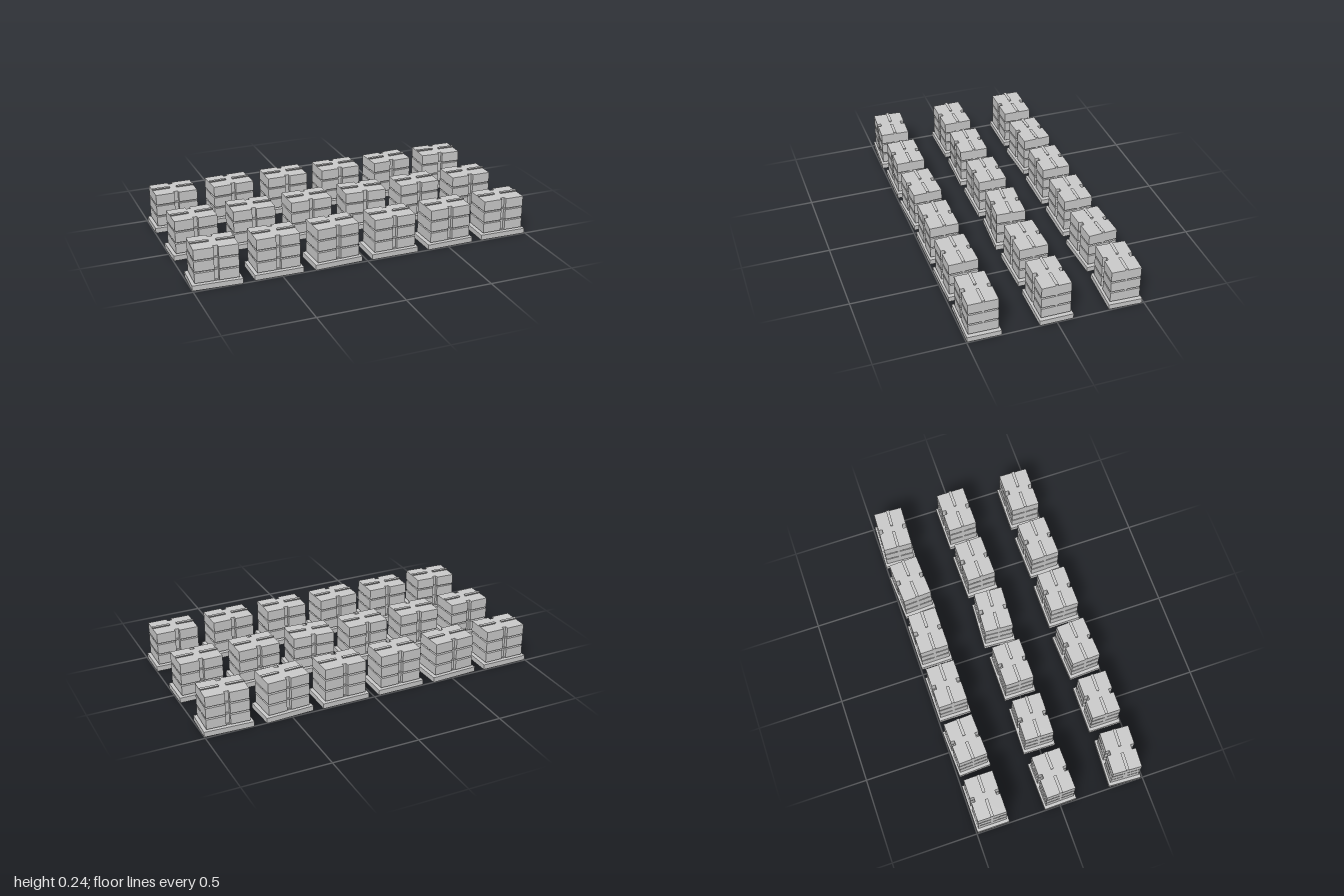
import * as THREE from 'three';

const grey = new THREE.MeshStandardMaterial({ color: 0xcccccc });
grey.name = 'light grey';

// Carton layer: rectangle notched at the middle of its front and back
function layerGeometry(height) {
  const w = 0.123, d = 0.084, nw = 0.013, nd = 0.062;
  const shape = new THREE.Shape([
    [-w, -d], [-nw, -d], [-nw, -nd], [nw, -nd], [nw, -d], [w, -d],
    [w, d], [nw, d], [nw, nd], [-nw, nd], [-nw, d], [-w, d],
  ].map(([x, z]) => new THREE.Vector2(x, z)));
  return new THREE.ExtrudeGeometry(shape, { depth: height, bevelEnabled: false }).rotateX(-Math.PI / 2);
}

// Flared ridge running in x along one half of a layer's top
function ridgeGeometry(height) {
  const shape = new THREE.Shape([
    [-0.004, 0], [0.004, 0], [0.009, height], [-0.009, height],
  ].map(([z, y]) => new THREE.Vector2(z, y)));
  return new THREE.ExtrudeGeometry(shape, { depth: 0.103, bevelEnabled: false })
    .translate(0, 0, -0.0515).rotateY(Math.PI / 2);
}

const layers = [[0.037, 0.094], [0.103, 0.162], [0.171, 0.231]];

function createStack() {
  const stack = new THREE.Group();
  stack.name = 'palletStack';
  const add = (name, geometry, x, y, z) => {
    const mesh = new THREE.Mesh(geometry, grey);
    mesh.name = name;
    mesh.position.set(x, y, z);
    stack.add(mesh);
  };
  add('pallet', new THREE.BoxGeometry(0.28, 0.03, 0.19), 0, 0.015, 0);

  let below = 0.03;
  layers.forEach(([bottom, top], i) => {
    // Inset spacer under each layer
    add('spacer', new THREE.BoxGeometry(0.226, bottom - below, 0.14), 0, (bottom + below) / 2, 0);
    add('cartonLayer', layerGeometry(top - bottom), 0, bottom, 0);
    const next = i < 2 ? layers[i + 1][0] : 0.24;
    for (const side of [-1, 1]) add('ridge', ridgeGeometry(next - top), side * 0.0715, top, 0);
    below = top;
  });
  return stack;
}

// Slight turn of every stack in degrees, rows from back to front
const turns = [
  [0, 2.5, 0, 0, 3, -2.5],
  [1, -1.5, 0, -3.5, 0.7, 0],
  [-3, -0.5, 2.5, 0, 1, -1],
];

export function createModel() {
  const model = new THREE.Group();
  model.name = 'palletStacks';
  turns.forEach((row, r) => row.forEach((deg, c) => {
    const stack = createStack();
    stack.position.set((c - 2.5) * 0.343, 0, (r - 1) * 0.4);
    stack.rotation.y = THREE.MathUtils.degToRad(deg);
    model.add(stack);
  }));
  return model;
}
